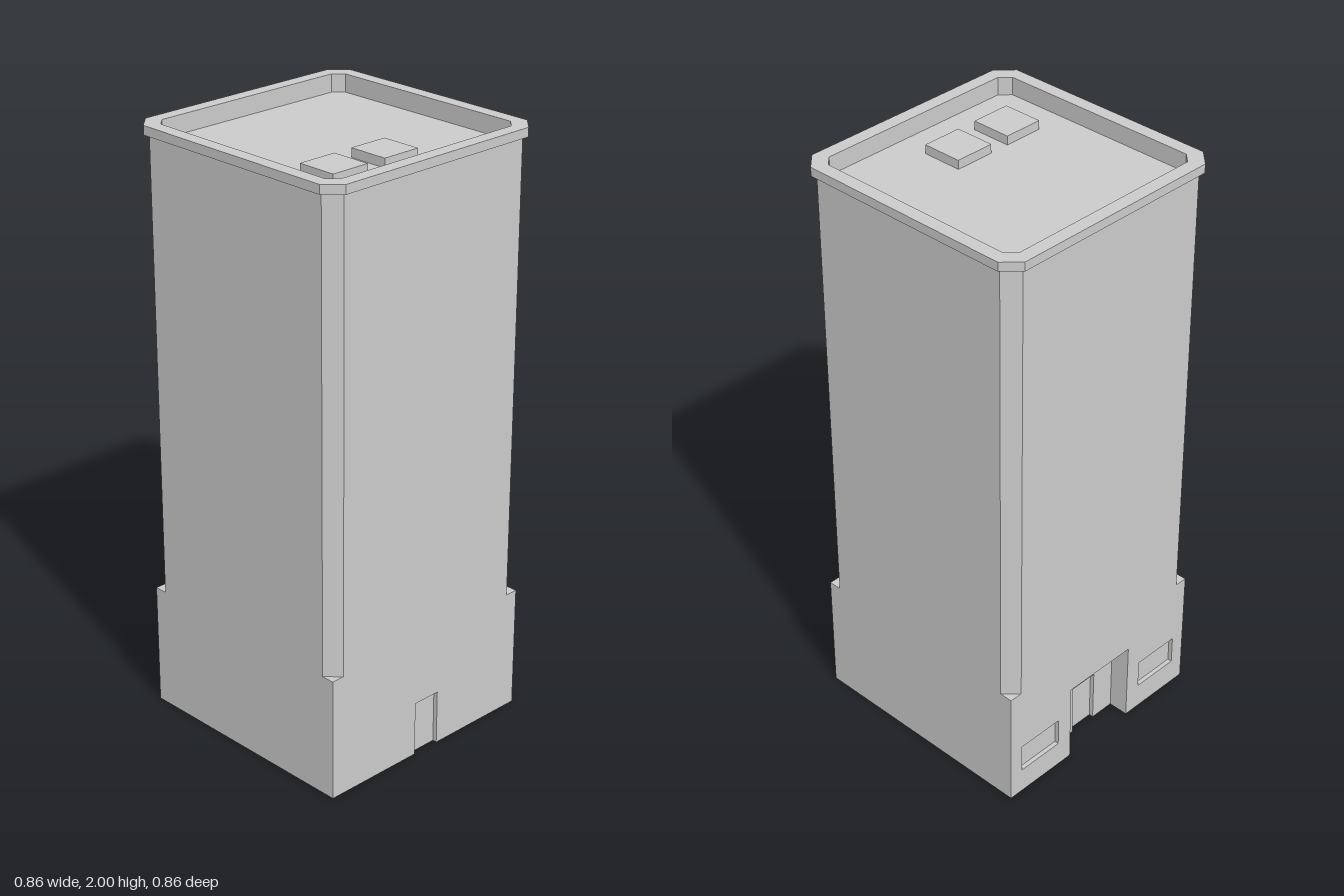
import * as THREE from 'three';

const material = new THREE.MeshStandardMaterial({ color: 0xcccccc, flatShading: true });
const HALF = 0.415;
const BASE_TOP = 0.42;
const ROOF = 1.94;

function add(parent, name, geometry) {
  const mesh = new THREE.Mesh(geometry, material);
  mesh.name = name;
  parent.add(mesh);
  return mesh;
}

// Square plan with cut corners
function cutSquare(half, cut, Type = THREE.Shape) {
  const a = half, b = half - cut;
  return new Type([
    [b, -a], [a, -b], [a, b], [b, a], [-b, a], [-a, b], [-a, -b], [-b, -a],
  ].map(([x, y]) => new THREE.Vector2(x, y)));
}

// Plan shape raised from y0 to y1
function raise(shape, y0, y1) {
  return new THREE.ExtrudeGeometry(shape, { depth: y1 - y0, bevelEnabled: false })
    .rotateX(-Math.PI / 2)
    .translate(0, y0, 0);
}

// Upright slab of the base from z0 to z1, with an opening cut up from the ground and optional windows
function slab(z0, z1, opening, windows = []) {
  const points = [[HALF, 0], [HALF, BASE_TOP], [-HALF, BASE_TOP], [-HALF, 0]];
  if (opening) {
    const [w, h] = opening;
    points.push([-w, 0], [-w, h], [w, h], [w, 0]);
  }
  const shape = new THREE.Shape(points.map(([x, y]) => new THREE.Vector2(x, y)));
  for (const [x0, x1, y0, y1] of windows) {
    shape.holes.push(new THREE.Path([
      [x0, y0], [x0, y1], [x1, y1], [x1, y0],
    ].map(([x, y]) => new THREE.Vector2(x, y))));
  }
  return new THREE.ExtrudeGeometry(shape, { depth: z1 - z0, bevelEnabled: false }).translate(0, 0, z0);
}

export function createModel() {
  const model = new THREE.Group();
  model.name = 'towerBlock';

  // Base: layered slabs form the doors, windows and rear porch
  const base = new THREE.Group();
  base.name = 'base';
  model.add(base);
  const door = [0.05, 0.188];
  const porch = [0.138, 0.285];
  const windows = [[-0.365, -0.195, 0.09, 0.19], [0.195, 0.365, 0.09, 0.19]];
  const inset = 0.015, porchDepth = 0.07;
  const back = [-HALF, -HALF + inset, -HALF + porchDepth, -HALF + porchDepth + inset];
  add(base, 'rearWindowWall', slab(back[0], back[1], porch, windows));
  add(base, 'rearPorchWall', slab(back[1], back[2], porch));
  add(base, 'rearDoorWall', slab(back[2], back[3], door));
  add(base, 'baseCore', slab(back[3], HALF - inset));
  add(base, 'frontDoorWall', slab(HALF - inset, HALF, door));

  // Tower shaft with cut corners
  add(model, 'shaft', raise(cutSquare(HALF, 0.045), BASE_TOP, ROOF));

  // Parapet and projecting coping around the sunken roof
  const ring = (half, cut) => {
    const shape = cutSquare(half, cut);
    shape.holes.push(cutSquare(0.384, 0.032, THREE.Path));
    return shape;
  };
  add(model, 'parapet', raise(ring(HALF, 0.045), ROOF, 1.97));
  add(model, 'coping', raise(ring(0.43, 0.052), 1.97, 2));

  // Rooftop units
  for (const x of [-0.209, -0.002]) {
    add(model, 'roofUnit', new THREE.BoxGeometry(0.138, 0.03, 0.138)).position.set(x, ROOF + 0.015, 0.207);
  }
  return model;
}
